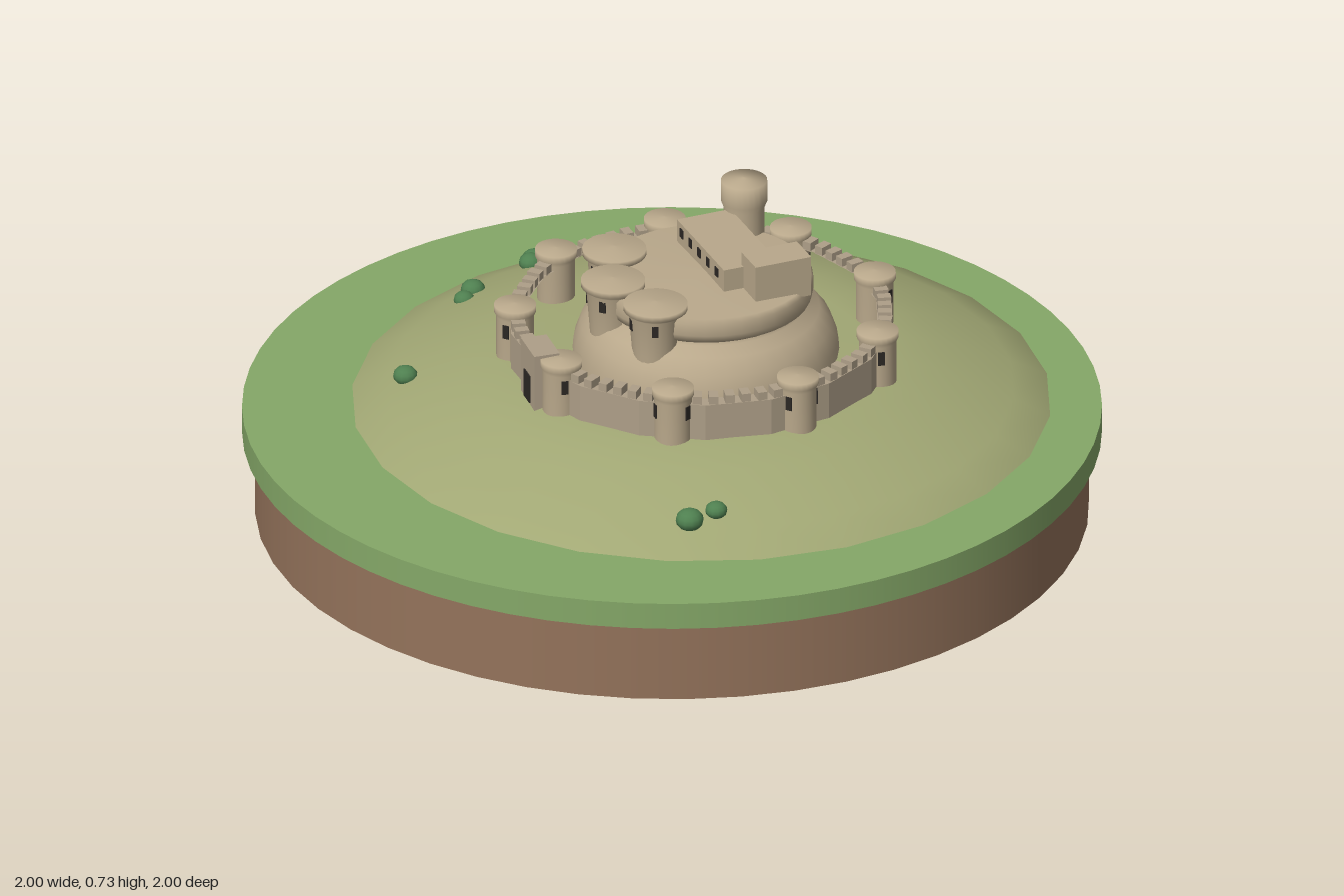
import * as THREE from 'three';

const CX = 0.022, CZ = -0.07; // centre of the hill and its ring wall
const mat = (name, color, side = THREE.FrontSide) => {
  const m = new THREE.MeshStandardMaterial({ color, side });
  m.name = name;
  return m;
};

export function createModel() {
  const root = new THREE.Group();
  root.name = 'hilltopCastle';

  const earth = mat('earth', 0x94735b);
  const grass = mat('grass', 0x85a868);
  const hillGrass = mat('hillGrass', 0xa1a774);
  const stone = mat('stone', 0xb9a88b);
  const wallStone = mat('wallStone', 0xae9f88);
  const bushGreen = mat('bushGreen', 0x4f8050);
  const dark = mat('darkOpening', 0x2b2724);

  const add = (parent, name, geo, material, x = 0, y = 0, z = 0, ry = 0) => {
    const mesh = new THREE.Mesh(geo, material);
    mesh.name = name;
    mesh.position.set(x, y, z);
    mesh.rotation.y = ry;
    parent.add(mesh);
    return mesh;
  };
  // profile is listed from the bottom upwards as [radius, y]
  const lathe = (profile, sides) =>
    new THREE.LatheGeometry(profile.map(([r, y]) => new THREE.Vector2(r, y)), sides);
  const box = (w, h, d) => new THREE.BoxGeometry(w, h, d);

  // round plinth
  add(root, 'earthBase', new THREE.CylinderGeometry(0.97, 0.97, 0.2, 48), earth, 0, 0.1, 0);
  add(root, 'grassDisc', new THREE.CylinderGeometry(1, 1, 0.065, 64), grass, 0, 0.2325, 0);

  // hill
  add(root, 'hill', lathe([
    [0.825, 0.23], [0.815, 0.265], [0.73, 0.305], [0.65, 0.338], [0.56, 0.37],
    [0.47, 0.393], [0.38, 0.402], [0, 0.404],
  ], 24), hillGrass, CX, 0, CZ);

  // ring wall, facets centred on towers and on the bays between them
  const TOWERS = 9, START = THREE.MathUtils.degToRad(8.3), RING = 0.433;
  const ringPath = (path, r) => {
    for (let i = 0; i <= 18; i++) {
      const a = START + (i + 0.5) * Math.PI / 9;
      path[i ? 'lineTo' : 'moveTo'](r * Math.cos(a), -r * Math.sin(a));
    }
    return path;
  };
  const ring = ringPath(new THREE.Shape(), RING + 0.018);
  ring.holes.push(ringPath(new THREE.Path(), RING - 0.018));
  const wallGeo = new THREE.ExtrudeGeometry(ring, { depth: 0.103, bevelEnabled: false });
  wallGeo.rotateX(-Math.PI / 2);
  add(root, 'curtainWall', wallGeo, wallStone, CX, 0.382, CZ);

  // merlons along the wall
  const merlons = new THREE.Group();
  merlons.name = 'merlons';
  root.add(merlons);
  const merlonGeo = box(0.032, 0.022, 0.022);
  for (let i = 0; i < 72; i++) {
    const a = START + (i + 0.5) * Math.PI / 36;
    // distance to the flat facet in this direction
    const off = ((i + 0.5) * 5 + 10) % 20 - 10;
    const r = RING * Math.cos(Math.PI / 18) / Math.cos(THREE.MathUtils.degToRad(off));
    add(merlons, 'merlon', merlonGeo, wallStone,
      CX + r * Math.cos(a), 0.494, CZ + r * Math.sin(a), -a);
  }

  // a round tower with thin window slits at the given angles
  const roundTower = (name, x, z, profile, slits, slitR, slitY, slitH = 0.034) => {
    const g = new THREE.Group();
    g.name = name;
    g.position.set(x, 0, z);
    root.add(g);
    add(g, 'shaft', lathe(profile, 24), stone);
    for (const a of slits)
      add(g, 'windowSlit', box(0.008, slitH, 0.016), dark,
        slitR * Math.cos(a), slitY, slitR * Math.sin(a), -a);
  };

  // wall towers
  for (let i = 0; i < TOWERS; i++) {
    const a = START + i * 2 * Math.PI / TOWERS;
    roundTower('wallTower', CX + RING * Math.cos(a), CZ + RING * Math.sin(a), [
      [0.044, 0.37], [0.044, 0.495], [0.049, 0.505], [0.049, 0.522], [0, 0.526],
    ], [a - 1.05, a + 1.05], 0.042, 0.468);
  }

  // gatehouse
  const gate = new THREE.Group();
  gate.name = 'gatehouse';
  gate.position.set(-0.035, 0, 0.368);
  gate.rotation.y = -0.38;
  root.add(gate);
  add(gate, 'gateBlock', box(0.1, 0.15, 0.062), wallStone, 0, 0.455, 0);
  add(gate, 'gateDoor', box(0.042, 0.07, 0.008), dark, 0, 0.43, 0.03);

  // stepped inner mound carrying the keep
  add(root, 'innerMound', lathe([
    [0.312, 0.38], [0.308, 0.43], [0.292, 0.475], [0.265, 0.51], [0.235, 0.528], [0.232, 0.545],
  ], 36), stone, 0.027, 0, -0.08);
  add(root, 'keepTerrace', lathe([
    [0.225, 0.53], [0.245, 0.543], [0.25, 0.56], [0.25, 0.59], [0.24, 0.6], [0, 0.605],
  ], 36), stone, 0.027, 0, -0.08);

  // three flared drum towers at the front of the terrace
  for (const [x, z, a] of [[-0.172, 0.032, 2.2], [-0.052, 0.135, 1.7], [0.103, 0.135, 1.3]])
    roundTower('drumTower', x, z, [
      [0.05, 0.42], [0.055, 0.5], [0.063, 0.597], [0.075, 0.606], [0.075, 0.62], [0, 0.626],
    ], [a - 0.6, a + 0.6], 0.058, 0.575, 0.028);

  // tall watch tower
  roundTower('watchTower', -0.085, -0.288, [
    [0.048, 0.54], [0.048, 0.66], [0.054, 0.675], [0.054, 0.728], [0, 0.734],
  ], [], 0, 0);

  // hall and its taller end block
  const hall = new THREE.Group();
  hall.name = 'hall';
  hall.position.set(0.02, 0, -0.15);
  hall.rotation.y = -0.29;
  root.add(hall);
  add(hall, 'hallBlock', box(0.28, 0.07, 0.135), stone, 0, 0.623, 0);
  add(hall, 'endBlock', box(0.085, 0.1, 0.14), stone, 0.17, 0.64, -0.052);
  for (let i = 0; i < 5; i++)
    add(hall, 'hallWindow', box(0.016, 0.022, 0.008), dark, -0.11 + i * 0.052, 0.635, 0.066);

  // bushes on the slope: x, y, z, radius
  for (const [x, y, z, r] of [
    [-0.695, 0.318, -0.16, 0.03], [-0.685, 0.32, -0.14, 0.028], [-0.66, 0.324, 0.055, 0.029],
    [-0.63, 0.326, 0.106, 0.025], [-0.42, 0.328, 0.457, 0.029],
    [0.567, 0.33, 0.335, 0.026], [0.557, 0.325, 0.407, 0.033],
  ])
    add(root, 'bush', new THREE.SphereGeometry(r, 12, 8), bushGreen, x, y, z).scale.y = 0.8;

  return root;
}
